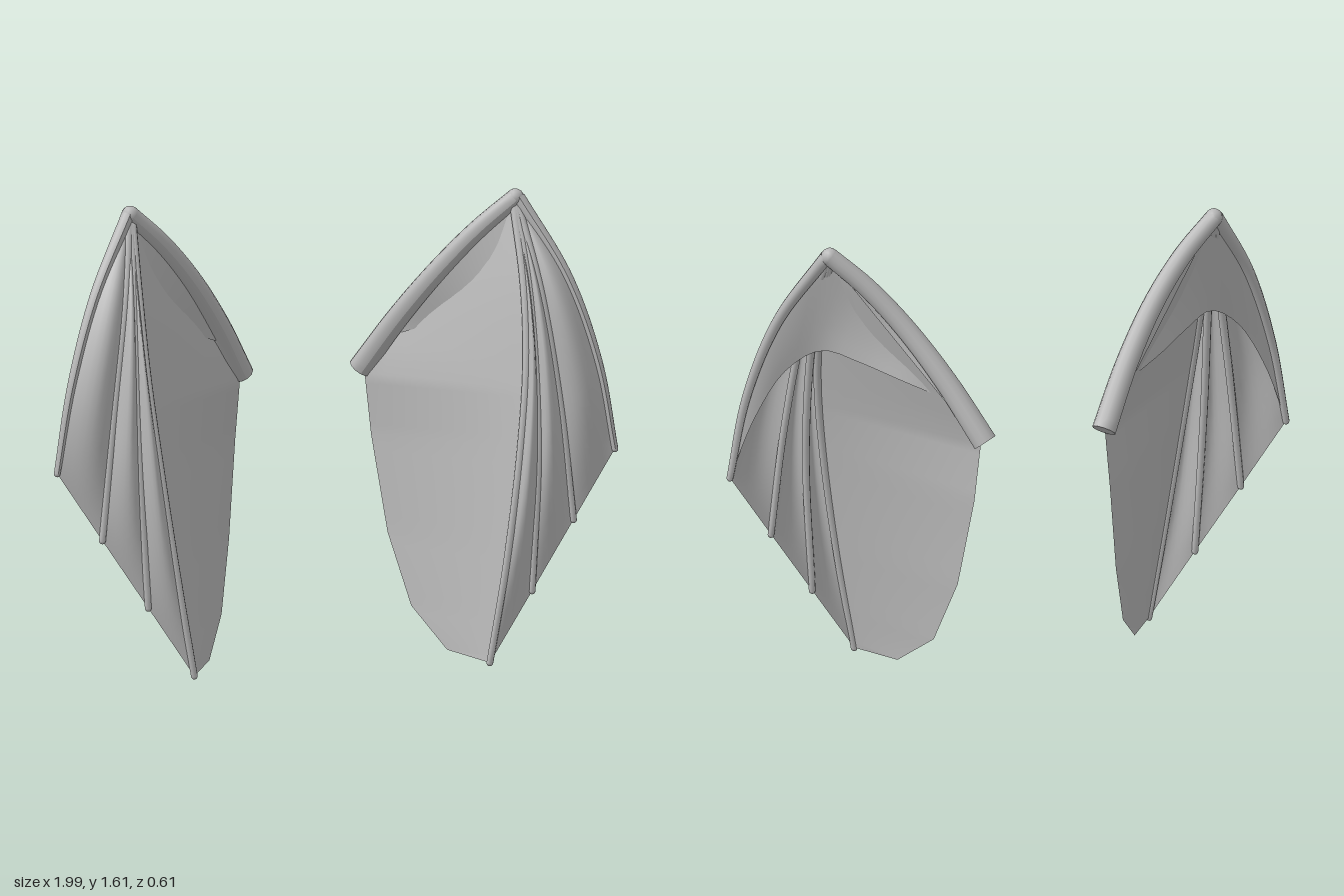
import * as THREE from 'three';

const V = (p) => new THREE.Vector3(...p);

export function createModel() {
  const model = new THREE.Group();
  model.name = 'wingPair';
  const grey = new THREE.MeshStandardMaterial({ color: 0xb8b8b8, side: THREE.DoubleSide });
  grey.name = 'grey';

  const add = (group, name, geometry) => {
    const mesh = new THREE.Mesh(geometry, grey);
    mesh.name = name;
    group.add(mesh);
    return mesh;
  };

  // Tube whose radius runs evenly from r0 to r1
  const taperedTube = (curve, r0, r1, segments, sides) => {
    const geo = new THREE.TubeGeometry(curve, segments, 1, sides);
    const pos = geo.attributes.position, v = new THREE.Vector3();
    for (let i = 0; i < pos.count; i++) {
      const t = Math.floor(i / (sides + 1)) / segments;
      const c = curve.getPointAt(t);
      v.fromBufferAttribute(pos, i).sub(c).multiplyScalar(r0 + (r1 - r0) * t).add(c);
      pos.setXYZ(i, v.x, v.y, v.z);
    }
    geo.computeVertexNormals();
    return geo;
  };

  // Sheet stretched between two edges a(t) and b(t), bulging forward
  const sheet = (a, b, rows, cols, bulge = 0) => {
    const pos = [], index = [];
    for (let i = 0; i <= rows; i++) {
      const t = i / rows, p = a(t), q = b(t);
      for (let j = 0; j <= cols; j++) {
        const s = j / cols, v = p.clone().lerp(q, s);
        v.z += bulge * Math.sin(Math.PI * s) * Math.sin(Math.PI * t);
        pos.push(v.x, v.y, v.z);
        if (i < rows && j < cols) {
          const k = i * (cols + 1) + j, n = k + cols + 1;
          index.push(k, n, k + 1, k + 1, n, n + 1);
        }
      }
    }
    const geo = new THREE.BufferGeometry();
    geo.setAttribute('position', new THREE.Float32BufferAttribute(pos, 3));
    geo.setIndex(index);
    geo.computeVertexNormals();
    return geo;
  };

  const buildWing = (side, name) => {
    const wing = new THREE.Group();
    wing.name = name;
    model.add(wing);
    const points = (list) => list.map(([x, y, z]) => V([side * x, y, z]));
    const curve = (list) => new THREE.CatmullRomCurve3(points(list));

    // Arm bone with a flat root and a rounded wrist
    const arm = curve([[0.21, 0.955, -0.27], [0.32, 1.15, -0.165], [0.44, 1.325, -0.075],
      [0.56, 1.465, -0.015], [0.68, 1.575, 0.025]]);
    add(wing, 'armBone', taperedTube(arm, 0.042, 0.031, 24, 12));
    const root = add(wing, 'armRootCap', new THREE.CircleGeometry(0.042, 12));
    root.position.copy(arm.getPointAt(0));
    root.lookAt(root.position.clone().sub(arm.getTangentAt(0)));
    const wrist = add(wing, 'wrist', new THREE.SphereGeometry(0.031, 12, 8));
    wrist.position.copy(arm.getPointAt(1));

    // Finger bones fanning from the wrist, outermost first
    const fingers = [
      [[0.69, 1.575, 0.03], [0.835, 1.31, 0.135], [0.93, 1.02, 0.19], [0.985, 0.72, 0.205]],
      [[0.685, 1.56, 0.03], [0.735, 1.27, 0.16], [0.79, 0.88, 0.215], [0.832, 0.485, 0.232]],
      [[0.68, 1.555, 0.03], [0.70, 1.25, 0.165], [0.705, 0.78, 0.245], [0.678, 0.25, 0.262]],
      [[0.675, 1.55, 0.03], [0.68, 1.3, 0.145], [0.67, 1.04, 0.22], [0.637, 0.74, 0.265],
        [0.582, 0.36, 0.288], [0.522, 0.012, 0.288]],
    ].map(curve);
    fingers.forEach((f, i) => {
      add(wing, 'fingerBone' + (i + 1), taperedTube(f, i ? 0.016 : 0.024, 0.012, 28, 8));
      const tip = add(wing, 'fingerTip' + (i + 1), new THREE.SphereGeometry(0.012, 8, 6));
      tip.position.copy(f.getPointAt(1));
    });

    // Pleated webs between neighbouring fingers
    for (let i = 0; i < 3; i++) {
      add(wing, 'fingerWeb' + (i + 1), sheet((t) => fingers[i].getPointAt(t),
        (t) => fingers[i + 1].getPointAt(t), 24, 8, 0.045));
    }

    // Broad inner membrane from the last finger to the body edge
    const bodyEdge = points([[0.67, 1.55, 0.03], [0.22, 0.94, -0.25], [0.24, 0.73, -0.24],
      [0.28, 0.4, -0.17], [0.335, 0.16, -0.06], [0.42, 0.03, 0.1], [0.522, 0.012, 0.288]]);
    const stops = [0, 0.4, 0.53, 0.75, 0.9, 0.985, 1];
    const along = (t) => {
      const i = Math.min(5, Math.floor(t * 6 + 1e-6));
      return [i, t * 6 - i];
    };
    const fingerSide = (t) => {
      const [i, f] = along(t);
      return fingers[3].getPointAt(Math.min(1, stops[i] + (stops[i + 1] - stops[i]) * f));
    };
    const bodySide = (t) => {
      const [i, f] = along(t);
      return bodyEdge[i].clone().lerp(bodyEdge[i + 1], f);
    };
    add(wing, 'innerMembrane', sheet(fingerSide, bodySide, 36, 8));

    // Short web behind, from the arm over the wrist to the outer finger
    const hem = curve([[0.33, 1.09, -0.165], [0.46, 1.14, -0.09], [0.58, 1.18, 0.01],
      [0.69, 1.2, 0.1], [0.80, 1.12, 0.15], [0.90, 0.95, 0.18], [0.985, 0.72, 0.205]]);
    const upperEdge = (t) => (t < 0.5 ? arm.getPointAt(0.22 + 1.56 * t)
      : fingers[0].getPointAt(2 * t - 1));
    add(wing, 'backWeb', sheet(upperEdge, (t) => hem.getPointAt(t), 24, 6));
  };

  buildWing(1, 'leftWing');
  buildWing(-1, 'rightWing');
  return model;
}
